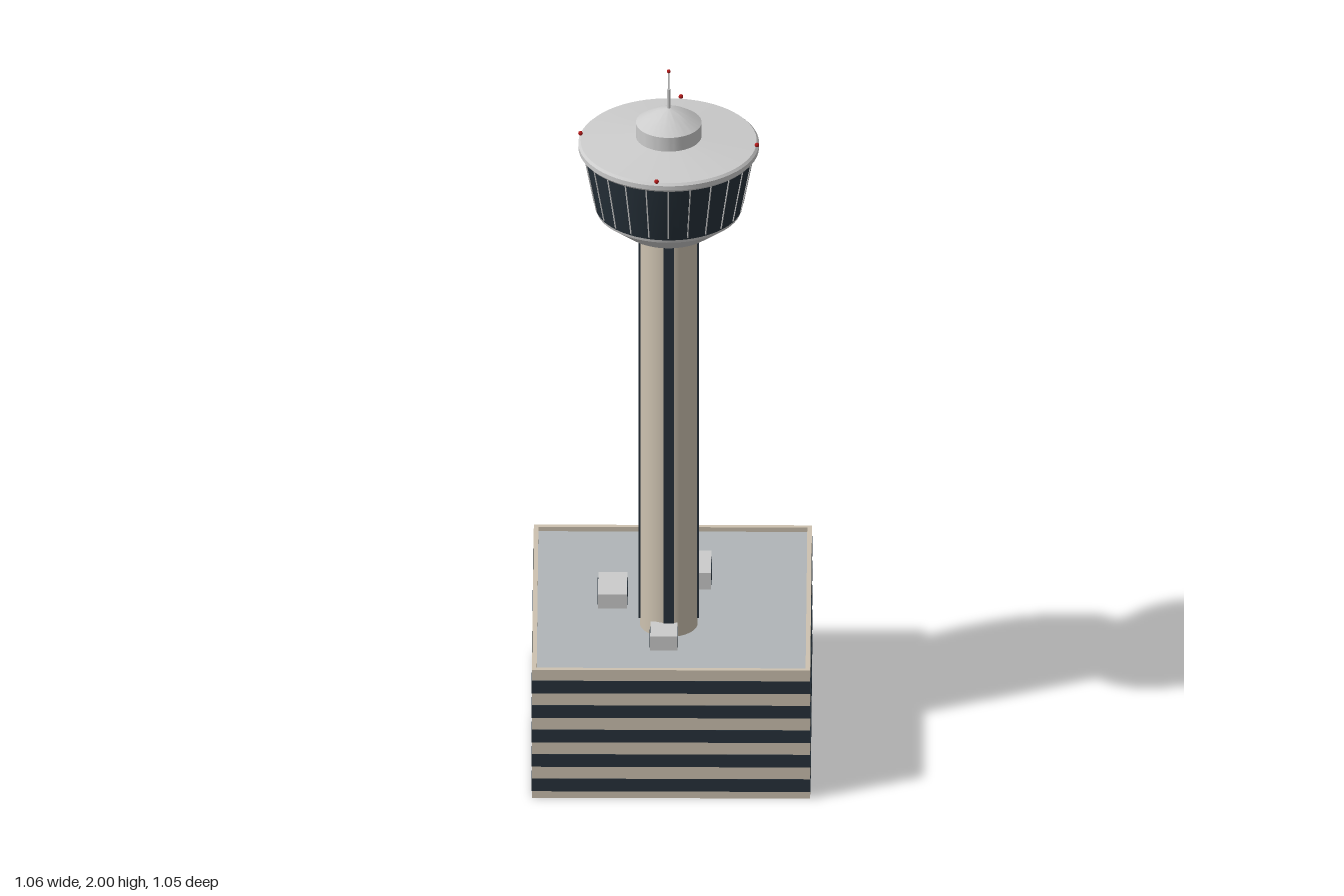
import * as THREE from 'three';
import { toCreasedNormals } from 'three/addons/utils/BufferGeometryUtils.js';

const mat = (color) => new THREE.MeshStandardMaterial({ color });
const beige = mat(0xcdc2b0), glass = mat(0x27323b), grey = mat(0xcccccc), roofGrey = mat(0xb0b5b8);
const red = mat(0xb01818), under = mat(0x8d8f91);
const sailMat = mat(0xcccccc);
sailMat.side = THREE.DoubleSide;

const TURN = -0.654; // plan rotation of building and shaft

function add(parent, name, geometry, material, x = 0, y = 0, z = 0) {
  const mesh = new THREE.Mesh(geometry, material);
  mesh.name = name;
  mesh.position.set(x, y, z);
  parent.add(mesh);
  return mesh;
}

// Rectangular frame, open above and below
function frame(w, d, t, h) {
  const rect = (target, a, b) => target.moveTo(-a, -b).lineTo(a, -b).lineTo(a, b).lineTo(-a, b).closePath();
  const shape = rect(new THREE.Shape(), w / 2, d / 2);
  shape.holes.push(rect(new THREE.Path(), w / 2 - t, d / 2 - t));
  return new THREE.ExtrudeGeometry(shape, { depth: h, bevelEnabled: false }).rotateX(-Math.PI / 2);
}

// Turned part from [radius, height] pairs, with sharp profile corners
function turned(points) {
  const lathe = new THREE.LatheGeometry(points.map(([r, y]) => new THREE.Vector2(r, y)), 64);
  return toCreasedNormals(lathe, 0.3);
}

// Curved shell: sections across the sail, stacked upwards
function sailGeometry() {
  const rim = new THREE.CatmullRomCurve3([
    [0.1, 0.36], [0.19, 0.49], [0.255, 0.6], [0.312, 0.8], [0.335, 1.02],
    [0.32, 1.22], [0.27, 1.4], [0.2, 1.49], [0.11, 1.54],
  ].map(([a, y]) => new THREE.Vector3(a, y, 0)));
  const rows = 48, cols = 14, count = 2 * (cols + 1);
  const pos = [], index = [];
  for (let j = 0; j <= rows; j++) {
    const p = rim.getPoint(j / rows);
    const bulge = 0.062 * (p.x - 0.05) / 0.285;
    for (let i = 0; i < count; i++) {
      const outer = i <= cols;
      const u = outer ? i / cols : (count - 1 - i) / cols;
      const z = 4 * bulge * u * (1 - u) + (outer ? 0.006 : -0.012);
      pos.push(-(0.05 + (p.x - 0.05) * u), p.y, z);
    }
  }
  for (let j = 0; j < rows; j++) {
    for (let i = 0; i < count; i++) {
      const n = (i + 1) % count;
      const a = j * count + i, b = j * count + n;
      index.push(a, a + count, b + count, a, b + count, b);
    }
  }
  const g = new THREE.BufferGeometry();
  g.setAttribute('position', new THREE.Float32BufferAttribute(pos, 3));
  g.setIndex(index);
  return toCreasedNormals(g, 0.7);
}

function buildBase() {
  const base = new THREE.Group();
  base.name = 'baseBuilding';
  base.rotation.y = TURN;
  add(base, 'walls', frame(0.78, 0.72, 0.012, 0.378), beige);
  add(base, 'roofDeck', new THREE.BoxGeometry(0.758, 0.015, 0.698), roofGrey, 0, 0.3575, 0);
  for (let i = 0; i < 5; i++) {
    add(base, 'windowBand', frame(0.782, 0.722, 0.004, 0.037), glass, 0, 0.02 + i * 0.0723, 0);
  }
  return base;
}

// Rooftop plant box with a dark vent on two opposite faces
function buildUnit(x, z, w, d, top) {
  const unit = new THREE.Group();
  unit.name = 'rooftopUnit';
  unit.position.set(x, 0.36, z);
  unit.rotation.y = TURN;
  const h = top - 0.36;
  add(unit, 'unitBox', new THREE.BoxGeometry(w, h, d), grey, 0, h / 2, 0);
  for (const s of [1, -1]) {
    add(unit, 'vent', new THREE.BoxGeometry(w * 0.8, h * 0.6, 0.003), glass, 0, h / 2, s * d / 2);
  }
  return unit;
}

function buildShaft() {
  const shaft = new THREE.Group();
  shaft.name = 'towerShaft';
  shaft.rotation.y = TURN;
  add(shaft, 'column', new THREE.CylinderGeometry(0.075, 0.075, 1.19, 48), beige, 0, 0.95, 0);
  for (const angle of [0, Math.PI / 2, Math.PI]) {
    const strip = add(shaft, 'windowStrip', new THREE.BoxGeometry(0.027, 1.13, 0.012), glass,
      Math.sin(angle) * 0.072, 0.952, Math.cos(angle) * 0.072);
    strip.rotation.y = angle;
  }
  add(shaft, 'sail', sailGeometry(), sailMat);
  return shaft;
}

function buildHead() {
  const head = new THREE.Group();
  head.name = 'controlRoom';
  add(head, 'underside', turned([[0, 1.537], [0.118, 1.537]]), under);
  add(head, 'lowerCone', turned([[0.118, 1.537], [0.188, 1.592], [0.19, 1.6]]), grey);
  add(head, 'glazing', turned([[0.19, 1.6], [0.192, 1.606], [0.222, 1.765]]), glass);
  add(head, 'roofRim', turned([[0.2, 1.765], [0.229, 1.765], [0.234, 1.771], [0.234, 1.784],
    [0.228, 1.79], [0.08, 1.805]]), grey);
  add(head, 'cap', turned([[0.085, 1.8], [0.085, 1.845], [0.06, 1.862], [0.03, 1.879], [0, 1.888]]), grey);

  // Slanted mullions
  const lean = Math.atan2(0.03, 0.159);
  for (let i = 0; i < 24; i++) {
    const spoke = new THREE.Group();
    spoke.name = 'mullionSpoke';
    spoke.rotation.y = (i + 0.5) * Math.PI / 12;
    const bar = add(spoke, 'mullion', new THREE.BoxGeometry(0.003, 0.16, 0.004), grey, 0, 1.685, 0.207);
    bar.rotation.x = lean;
    head.add(spoke);
  }

  // Warning lights around the rim
  for (const sx of [1, -1]) for (const sz of [1, -1]) {
    add(head, 'warningLight', new THREE.SphereGeometry(0.006, 12, 8), red, sx * 0.163, 1.795, sz * 0.163);
  }
  add(head, 'mastBase', new THREE.CylinderGeometry(0.004, 0.004, 0.06, 12), grey, 0, 1.912, 0);
  add(head, 'mast', new THREE.CylinderGeometry(0.002, 0.002, 0.06, 8), grey, 0, 1.966, 0);
  add(head, 'mastLight', new THREE.SphereGeometry(0.005, 12, 8), red, 0, 1.995, 0);
  return head;
}

export function createModel() {
  const model = new THREE.Group();
  model.name = 'controlTower';
  model.add(buildBase());
  model.add(buildUnit(-0.063, -0.128, 0.12, 0.075, 0.414));
  model.add(buildUnit(-0.113, 0.107, 0.12, 0.075, 0.406));
  model.add(buildUnit(0.163, 0.15, 0.08, 0.07, 0.406));

  const tower = new THREE.Group();
  tower.name = 'tower';
  tower.position.set(0.085, 0, 0.075);
  tower.add(buildShaft(), buildHead());
  model.add(tower);
  return model;
}
